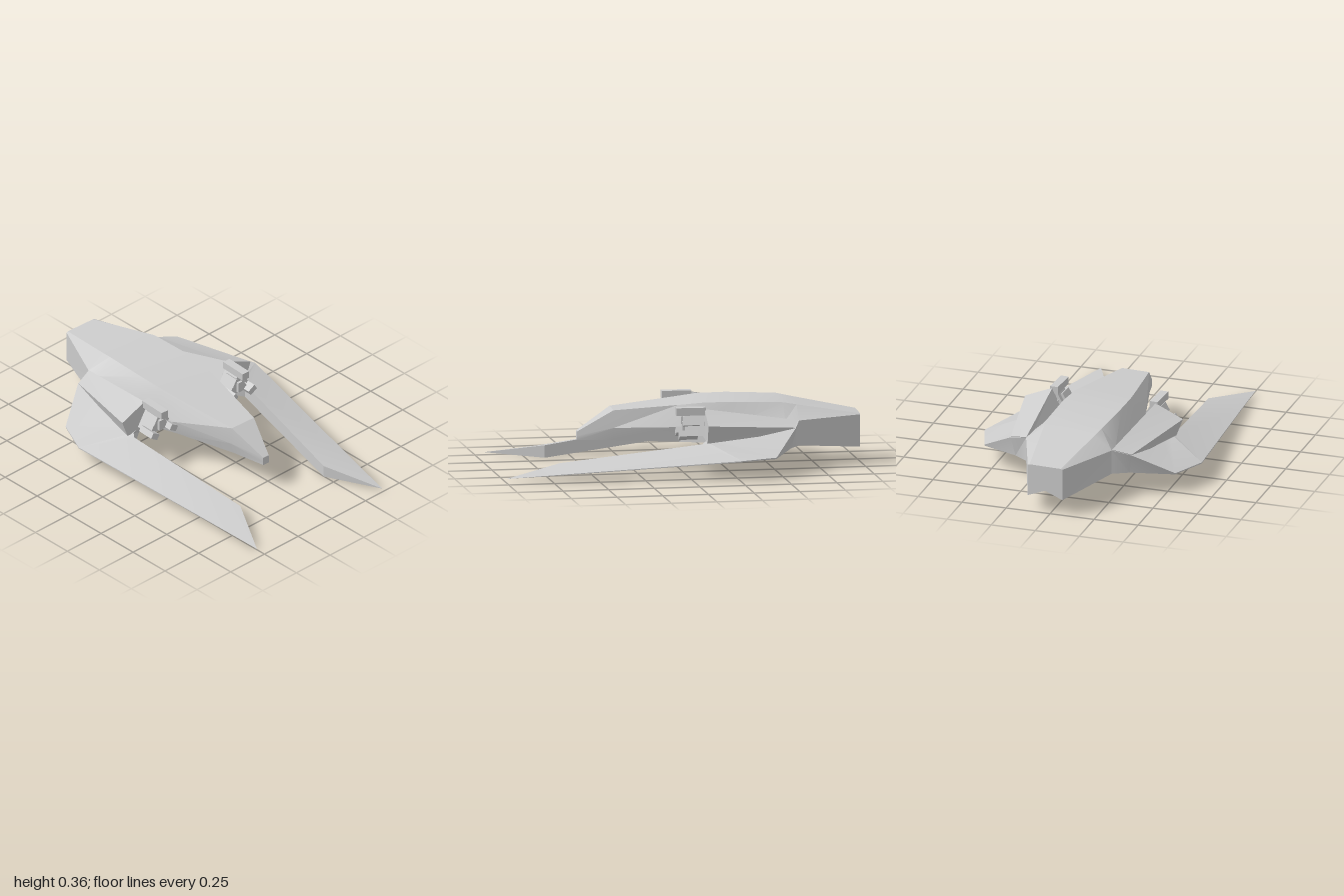
import * as THREE from 'three';
import { toCreasedNormals } from 'three/addons/utils/BufferGeometryUtils.js';

const smooth = new THREE.MeshStandardMaterial({ color: 0xcccccc, side: THREE.DoubleSide });
const flat = new THREE.MeshStandardMaterial({ color: 0xcccccc, flatShading: true });

// Joins closed rings of [x, y, z] points into a capped solid, facing outwards.
function loft(rings, crease = 0.35) {
  const tris = [];
  const n = rings[0].length;
  for (let i = 0; i < rings.length - 1; i++) {
    for (let j = 0; j < n; j++) {
      const k = (j + 1) % n;
      const [a, b, c, d] = [rings[i][j], rings[i][k], rings[i + 1][k], rings[i + 1][j]];
      tris.push([a, b, c], [a, c, d]);
    }
  }
  const first = rings[0], last = rings[rings.length - 1];
  for (let j = 1; j < n - 1; j++) {
    tris.push([first[0], first[j + 1], first[j]], [last[0], last[j], last[j + 1]]);
  }
  const vec = (p) => new THREE.Vector3(...p);
  let volume = 0;
  const solid = tris.filter(([a, b, c]) => {
    const [A, B, C] = [vec(a), vec(b), vec(c)];
    volume += A.dot(B.clone().cross(C));
    return B.sub(A).cross(C.sub(A)).length() > 1e-7;
  });
  const points = solid.flatMap(([a, b, c]) => (volume < 0 ? [...a, ...c, ...b] : [...a, ...b, ...c]));
  const geo = new THREE.BufferGeometry();
  geo.setAttribute('position', new THREE.Float32BufferAttribute(points, 3));
  return toCreasedNormals(geo, crease);
}

function add(parent, name, geo, material, x = 0, y = 0, z = 0) {
  const mesh = new THREE.Mesh(geo, material);
  mesh.name = name;
  mesh.position.set(x, y, z);
  parent.add(mesh);
  return mesh;
}

// Half sections: z, keel height, then bottom, side and top edge as [x, y].
function hullGeometry() {
  const sections = [
    [0.53, 0.148, [0.02, 0.148], [0.021, 0.17], [0.02, 0.194]],
    [0.34, 0.149, [0.065, 0.15], [0.086, 0.22], [0.078, 0.315]],
    [0, 0.15, [0.175, 0.152], [0.195, 0.235], [0.137, 0.346]],
    [-0.14, 0.15, [0.23, 0.152], [0.215, 0.242], [0.16, 0.36]],
    [-0.3, 0.15, [0.265, 0.15], [0.225, 0.25], [0.167, 0.362]],
    [-0.57, 0.15, [0.26, 0.138], [0.242, 0.263], [0.16, 0.352]],
    [-0.645, 0.148, [0.247, 0.13], [0.247, 0.265], [0.148, 0.337]],
    [-0.997, 0.13, [0.1, 0.09], [0.1, 0.267], [0.09, 0.271]],
  ];
  return loft(sections.map(([z, keel, ...edge]) => [
    [0, keel, z],
    ...edge.map(([x, y]) => [x, y, z]),
    ...edge.slice().reverse().map(([x, y]) => [-x, y, z]),
  ]));
}

// Sections from the wing root around the bend to the forward tip:
// outer top, outer bottom, inner bottom, inner top.
function wingGeometry() {
  const tip = [0.446, 0.015, 0.972];
  return loft([
    [[0.247, 0.265, -0.645], [0.247, 0.13, -0.645], [0.2, 0.15, -0.2], [0.2, 0.24, -0.15]],
    [[0.349, 0.24, -0.613], [0.33, 0.128, -0.59], [0.3, 0.125, -0.17], [0.32, 0.2, -0.13]],
    [[0.551, 0.116, -0.482], [0.55, 0.108, -0.48], [0.36, 0.1, -0.13], [0.38, 0.185, -0.12]],
    [[0.627, 0.114, -0.285], [0.627, 0.108, -0.285], [0.394, 0.09, -0.1], [0.394, 0.172, -0.1]],
    [[0.489, 0.04, 0.662], [0.489, 0.036, 0.662], [0.296, 0.002, 0.662], [0.296, 0.07, 0.662]],
    [tip, tip, tip, tip],
  ]);
}

// Housing that widens forward from a thin rear edge.
function housingGeometry() {
  return loft([
    [[0.247, 0.268, -0.64], [0.349, 0.243, -0.61], [0.345, 0.22, -0.6], [0.245, 0.22, -0.62]],
    [[0.298, 0.347, -0.125], [0.456, 0.278, -0.125], [0.418, 0.178, -0.125], [0.23, 0.19, -0.125]],
  ], 0.2);
}

function buildSide(name) {
  const side = new THREE.Group();
  side.name = name;
  add(side, 'wing', wingGeometry(), smooth);
  add(side, 'thrusterHousing', housingGeometry(), smooth);

  // Triangular hub with three blocks at its corners
  const cluster = new THREE.Group();
  cluster.name = 'thrusterCluster';
  cluster.position.set(0.28, 0.25, -0.07);
  side.add(cluster);
  const hub = new THREE.CylinderGeometry(0.08, 0.08, 0.1, 3).rotateX(-Math.PI / 2);
  add(cluster, 'hub', hub, flat);
  add(cluster, 'core', new THREE.BoxGeometry(0.03, 0.06, 0.13), flat);
  add(cluster, 'upperBlock', new THREE.BoxGeometry(0.045, 0.042, 0.16), flat, 0.008, 0.086, 0.02);
  for (const s of [-1, 1]) {
    const block = add(cluster, 'lowerBlock', new THREE.BoxGeometry(0.05, 0.034, 0.1), flat, s * 0.066, -0.034, 0.04);
    block.rotation.z = -s * 0.55 + (s > 0 ? 1.1 : 0);
    add(cluster, 'strut', new THREE.BoxGeometry(0.014, 0.05, 0.09), flat, s * 0.035, 0.035, 0.02)
      .rotation.z = s * 0.52;
  }
  return side;
}

export function createModel() {
  const model = new THREE.Group();
  model.name = 'spacecraft';
  add(model, 'hull', hullGeometry(), smooth);
  add(model, 'bellyHatch', new THREE.BoxGeometry(0.3, 0.006, 0.2), flat, 0, 0.149, -0.3);

  const left = buildSide('leftSide');
  const right = buildSide('rightSide');
  right.scale.x = -1;
  model.add(left, right);

  // The craft sits turned slightly about its vertical axis
  model.rotation.y = -0.047;
  model.position.x = -0.017;
  const root = new THREE.Group();
  root.add(model);
  return root;
}
